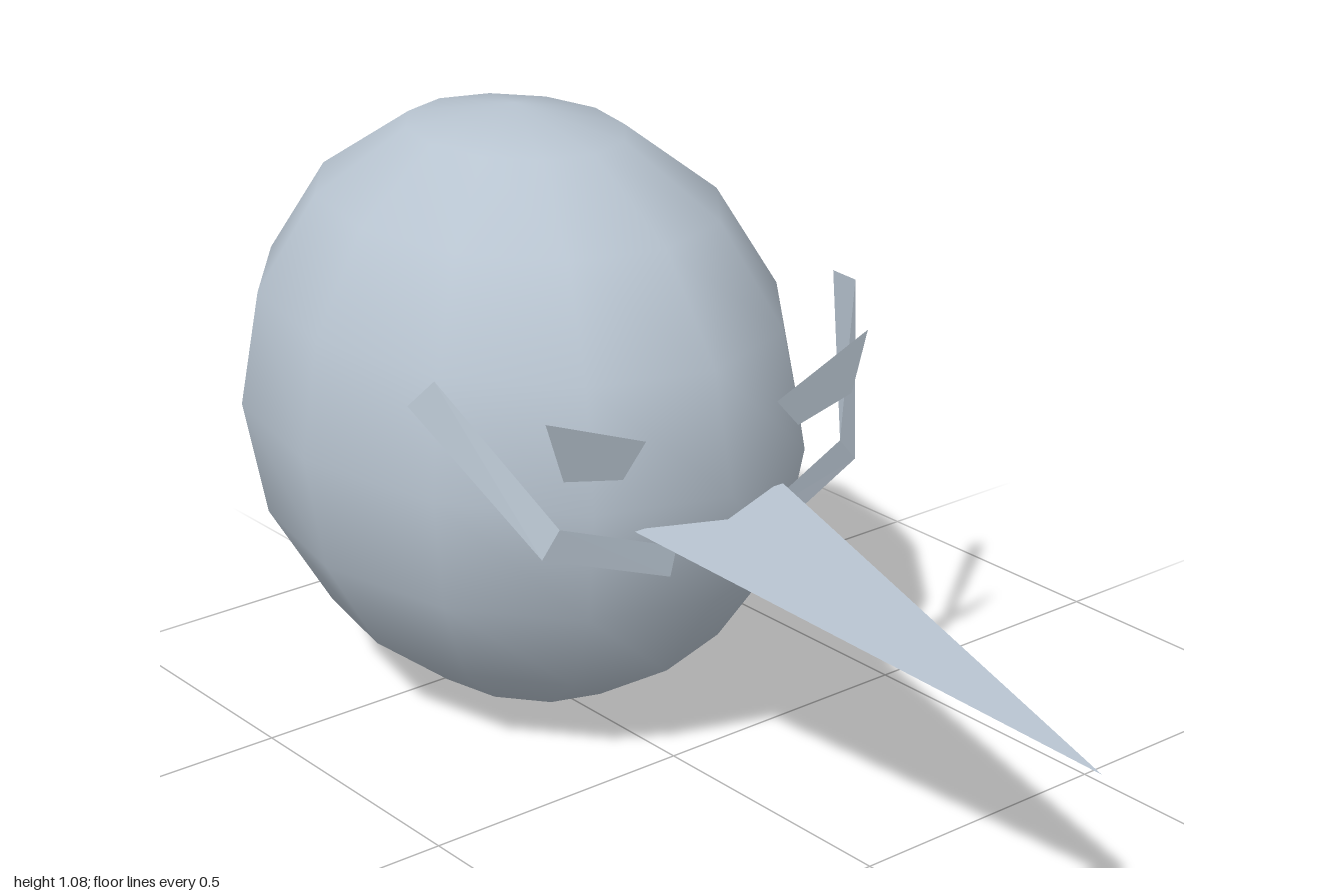
import * as THREE from 'three';

const skin = new THREE.MeshStandardMaterial({ color: 0xb8c4d0 });
skin.name = 'paleBlueGrey';
skin.side = THREE.DoubleSide;

// Flat sheet from corner points, fanned over the given quads or triangles
function sheet(name, points, faces) {
  const pos = [];
  for (const f of faces) {
    for (let i = 1; i < f.length - 1; i++) {
      for (const k of [f[0], f[i], f[i + 1]]) pos.push(...points[k]);
    }
  }
  const geo = new THREE.BufferGeometry();
  geo.setAttribute('position', new THREE.Float32BufferAttribute(pos, 3));
  geo.computeVertexNormals();
  const mesh = new THREE.Mesh(geo, skin);
  mesh.name = name;
  return mesh;
}

export function createModel() {
  const group = new THREE.Group();
  group.name = 'roundBird';

  // Egg-shaped body
  const bodyGeo = new THREE.SphereGeometry(1, 12, 8);
  bodyGeo.scale(0.455, 0.538, 0.575);
  const body = new THREE.Mesh(bodyGeo, skin);
  body.name = 'body';
  body.position.set(0, 0.538, -0.425);
  group.add(body);

  // Long flat beak
  group.add(sheet('beak', [[-0.16, 0.5, 0.095], [0, 0.367, 0.99], [0.16, 0.5, 0.095]], [[0, 1, 2]]));

  for (const s of [1, -1]) {
    const side = s > 0 ? 'left' : 'right';
    // Reversing the corner order keeps the mirrored sheet facing forward
    const mirror = (pts) => pts.map(([x, y, z]) => [s * x, y, z]);
    const order = (f) => (s > 0 ? f : [...f].reverse());

    // Slanted eye plate
    group.add(sheet(side + 'Eye', mirror([
      [0.14, 0.654, 0.1], [0.188, 0.6, 0.1], [0.308, 0.628, 0.1], [0.342, 0.734, 0.1],
    ]), [order([0, 1, 2, 3])]));

    // Bent cheek strip: inner end, bend, outer end
    group.add(sheet(side + 'CheekStrip', mirror([
      [0.08, 0.455, 0.105], [0.096, 0.406, 0.108],
      [0.302, 0.537, 0.08], [0.338, 0.494, 0.08],
      [0.425, 0.774, -0.08], [0.478, 0.745, -0.08],
    ]), [order([0, 1, 3, 2]), order([2, 3, 5, 4])]));
  }
  return group;
}
